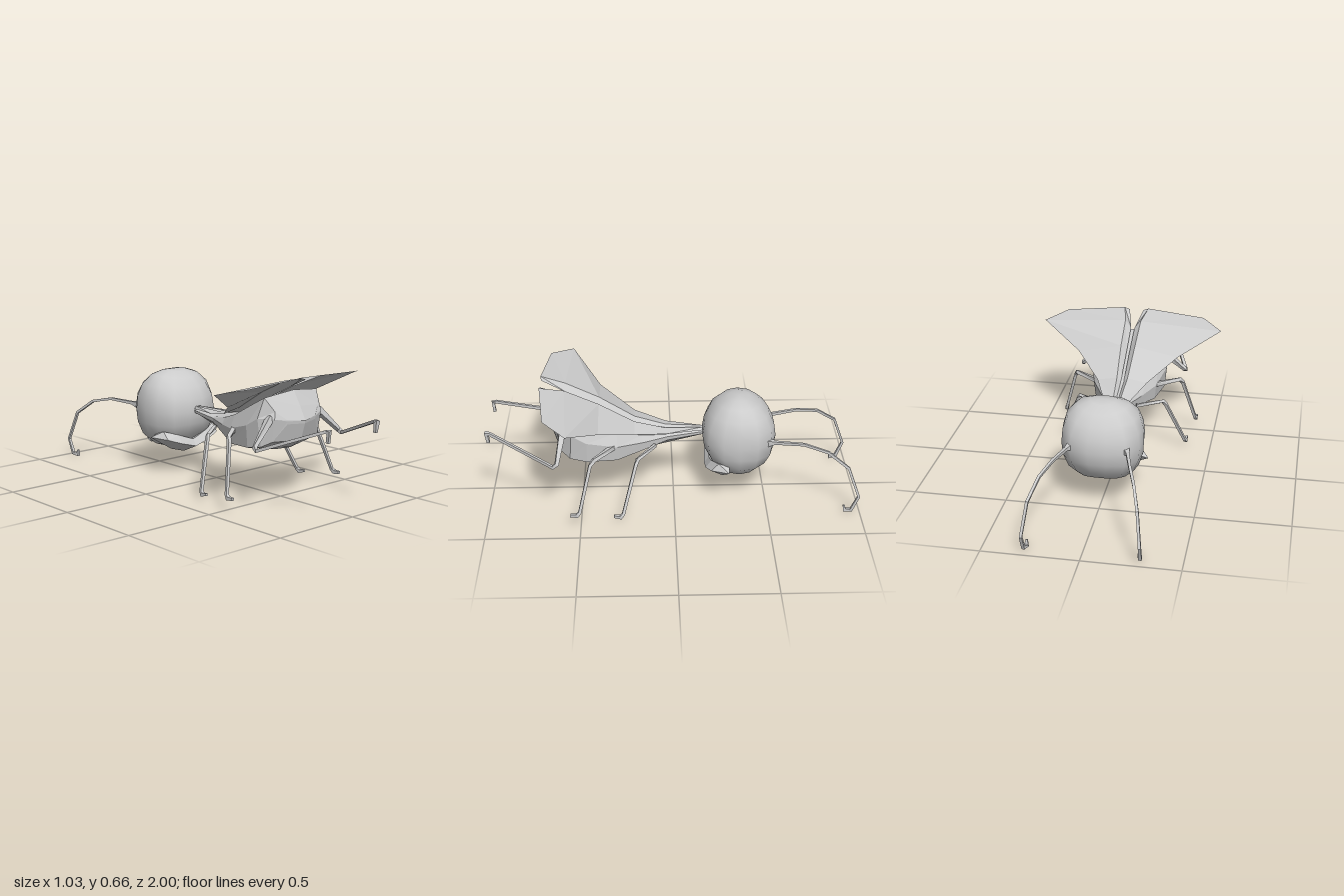
import * as THREE from 'three';
import { mergeVertices } from 'three/addons/utils/BufferGeometryUtils.js';

const V = (x, y, z) => new THREE.Vector3(x, y, z);
const flat = new THREE.MeshStandardMaterial({ color: 0xcccccc, flatShading: true });
const smooth = new THREE.MeshStandardMaterial({ color: 0xcccccc });
const thin = new THREE.MeshStandardMaterial({ color: 0xcccccc, flatShading: true, side: THREE.DoubleSide });

// Skins a list of cross-sections; closed lofts get end caps and outward faces.
function loft(rings, closed = true) {
  const n = rings[0].length, tris = [];
  for (let i = 0; i < rings.length - 1; i++) {
    for (let j = 0; j < (closed ? n : n - 1); j++) {
      const k = (j + 1) % n, [a, b] = [rings[i], rings[i + 1]];
      tris.push([a[j], a[k], b[k]], [a[j], b[k], b[j]]);
    }
  }
  if (closed) {
    const first = rings[0], last = rings[rings.length - 1];
    for (let j = 1; j < n - 1; j++) {
      tris.push([first[0], first[j + 1], first[j]], [last[0], last[j], last[j + 1]]);
    }
    const volume = tris.reduce((s, [a, b, c]) => s + a.dot(b.clone().cross(c)), 0);
    if (volume < 0) tris.forEach((t) => t.reverse());
  }
  const geo = new THREE.BufferGeometry().setFromPoints(tris.flat());
  geo.computeVertexNormals();
  return geo;
}

// Thin four-sided limb along a bent path, mitred at the joints.
function limb(points, radii) {
  const rings = points.map((p, i) => {
    const a = points[Math.max(i - 1, 0)], b = points[Math.min(i + 1, points.length - 1)];
    const dirIn = p.clone().sub(a).normalize(), dirOut = b.clone().sub(p).normalize();
    const t = dirIn.add(dirOut).normalize();
    const side = V(1, 0, 0).addScaledVector(t, -t.x).normalize();
    const up = t.clone().cross(side);
    return [0, 1, 2, 3].map((k) => {
      const ang = Math.PI / 4 + k * Math.PI / 2;
      return p.clone().addScaledVector(side, Math.cos(ang) * radii[i]).addScaledVector(up, Math.sin(ang) * radii[i]);
    });
  });
  return loft(rings);
}

export function createModel() {
  const model = new THREE.Group();
  const add = (name, geo, mat) => {
    const mesh = new THREE.Mesh(geo, mat);
    mesh.name = name;
    model.add(mesh);
  };

  // Head: round from the side, squared off towards its left and right
  let head = new THREE.SphereGeometry(1, 14, 10);
  const pos = head.attributes.position, p = V();
  for (let i = 0; i < pos.count; i++) {
    p.fromBufferAttribute(pos, i);
    const f = (Math.abs(p.x) ** 2.8 + Math.hypot(p.y, p.z) ** 2.8) ** (-1 / 2.8);
    pos.setXYZ(i, p.x * f * 0.213, p.y * f * 0.221 + 0.352, p.z * f * 0.2 - 0.357);
  }
  head.deleteAttribute('uv');
  head.deleteAttribute('normal');
  head = mergeVertices(head, 1e-4);
  head.computeVertexNormals();
  add('head', head, smooth);

  // Body: half sections of [x, y, z] from top centre to bottom centre
  const section = (z, w, top, low, bot) => [[0, top, z], [w * 0.8, top - 0.015, z], [w, (top + low) / 2, z], [w * 0.95, low, z], [0, bot, z]];
  const halves = [
    section(-0.18, 0.018, 0.375, 0.35, 0.345),
    section(0.03, 0.055, 0.375, 0.33, 0.287),
    section(0.17, 0.115, 0.4, 0.3, 0.25),
    section(0.305, 0.18, 0.445, 0.278, 0.226),
    section(0.465, 0.218, 0.525, 0.29, 0.25),
    [[0, 0.582, 0.585], [0.188, 0.56, 0.565], [0.216, 0.455, 0.545], [0.2, 0.308, 0.555], [0, 0.278, 0.565]],
    [[0, 0.505, 0.632], [0.155, 0.49, 0.61], [0.168, 0.455, 0.62], [0.165, 0.335, 0.6], [0, 0.33, 0.642]],
    [[0, 0.435, 0.67], [0.1, 0.445, 0.645], [0.1, 0.44, 0.645], [0.1, 0.425, 0.643], [0, 0.42, 0.668]],
  ];
  const mirrorRing = (h) => [...h.map((q) => V(...q)), ...h.slice(1, -1).reverse().map(([x, y, z]) => V(-x, y, z))];
  add('body', loft(halves.map(mirrorRing)), flat);

  // Jaw: swept chevron of diamond sections [y, z], pointed at both ends
  const jawHalf = [
    [0.225, [0.217, -0.293], [0.215, -0.29], [0.213, -0.293], [0.215, -0.296]],
    [0.18, [0.25, -0.24], [0.207, -0.2], [0.18, -0.26], [0.23, -0.3]],
    [0.1, [0.225, -0.205], [0.18, -0.175], [0.135, -0.27], [0.19, -0.31]],
    [0, [0.19, -0.195], [0.152, -0.172], [0.105, -0.28], [0.17, -0.31]],
  ];
  const jawRing = ([x, ...yz], s) => yz.map(([y, z]) => V(x * s, y, z));
  add('jaw', loft([...jawHalf.map((j) => jawRing(j, 1)), ...jawHalf.slice(0, 3).reverse().map((j) => jawRing(j, -1))]), flat);

  // Wing rows run front to rear: inner edge, ridge, outer edge
  const wingRows = [
    [[0.004, 0.37, -0.16], [0.01, 0.385, -0.16], [0.02, 0.37, -0.16]],
    [[0.006, 0.375, 0.04], [0.02, 0.388, 0.04], [0.075, 0.38, 0.04]],
    [[0.008, 0.41, 0.21], [0.03, 0.435, 0.21], [0.14, 0.415, 0.21]],
    [[0.008, 0.51, 0.4], [0.04, 0.55, 0.4], [0.285, 0.5, 0.4]],
    [[0.01, 0.595, 0.57], [0.045, 0.635, 0.58], [0.515, 0.615, 0.555]],
    [[0.04, 0.655, 0.708], [0.07, 0.665, 0.712], [0.4, 0.643, 0.675]],
  ];

  // Limb paths on the +x side
  const limbs = {
    antenna: [[[0.12, 0.35, -0.44], [0.158, 0.365, -0.545], [0.195, 0.372, -0.695], [0.235, 0.345, -0.82],
      [0.27, 0.265, -0.93], [0.292, 0.1, -0.99], [0.29, 0.018, -0.955], [0.282, 0.012, -0.92], [0.282, 0.042, -0.915]],
    [0.05, 0.012, 0.01, 0.01, 0.01, 0.01, 0.012, 0.014, 0.007]],
    frontLeg: [[[0.1, 0.325, 0.1], [0.235, 0.318, 0.195], [0.25, 0.295, 0.205], [0.352, 0.05, 0.275], [0.358, 0.035, 0.29], [0.36, 0.042, 0.325]],
      [0.012, 0.012, 0.012, 0.011, 0.014, 0.009]],
    middleLeg: [[[0.14, 0.36, 0.3], [0.3, 0.355, 0.425], [0.315, 0.33, 0.445], [0.385, 0.085, 0.505], [0.39, 0.07, 0.52], [0.39, 0.072, 0.555]],
      [0.018, 0.014, 0.012, 0.011, 0.014, 0.01]],
    hindLeg: [[[0.17, 0.46, 0.59], [0.305, 0.335, 0.62], [0.31, 0.322, 0.64], [0.18, 0.455, 0.975], [0.173, 0.455, 0.992], [0.172, 0.4, 0.985]],
      [0.024, 0.014, 0.013, 0.011, 0.016, 0.011]],
  };

  for (const [sideName, s] of [['left', 1], ['right', -1]]) {
    const place = ([x, y, z]) => V(x * s, y, z);
    add(sideName + 'Wing', loft(wingRows.map((r) => r.map(place)), false), thin);
    for (const [name, [path, radii]] of Object.entries(limbs)) {
      add(sideName + name[0].toUpperCase() + name.slice(1), limb(path.map(place), radii), flat);
    }
  }
  return model;
}
